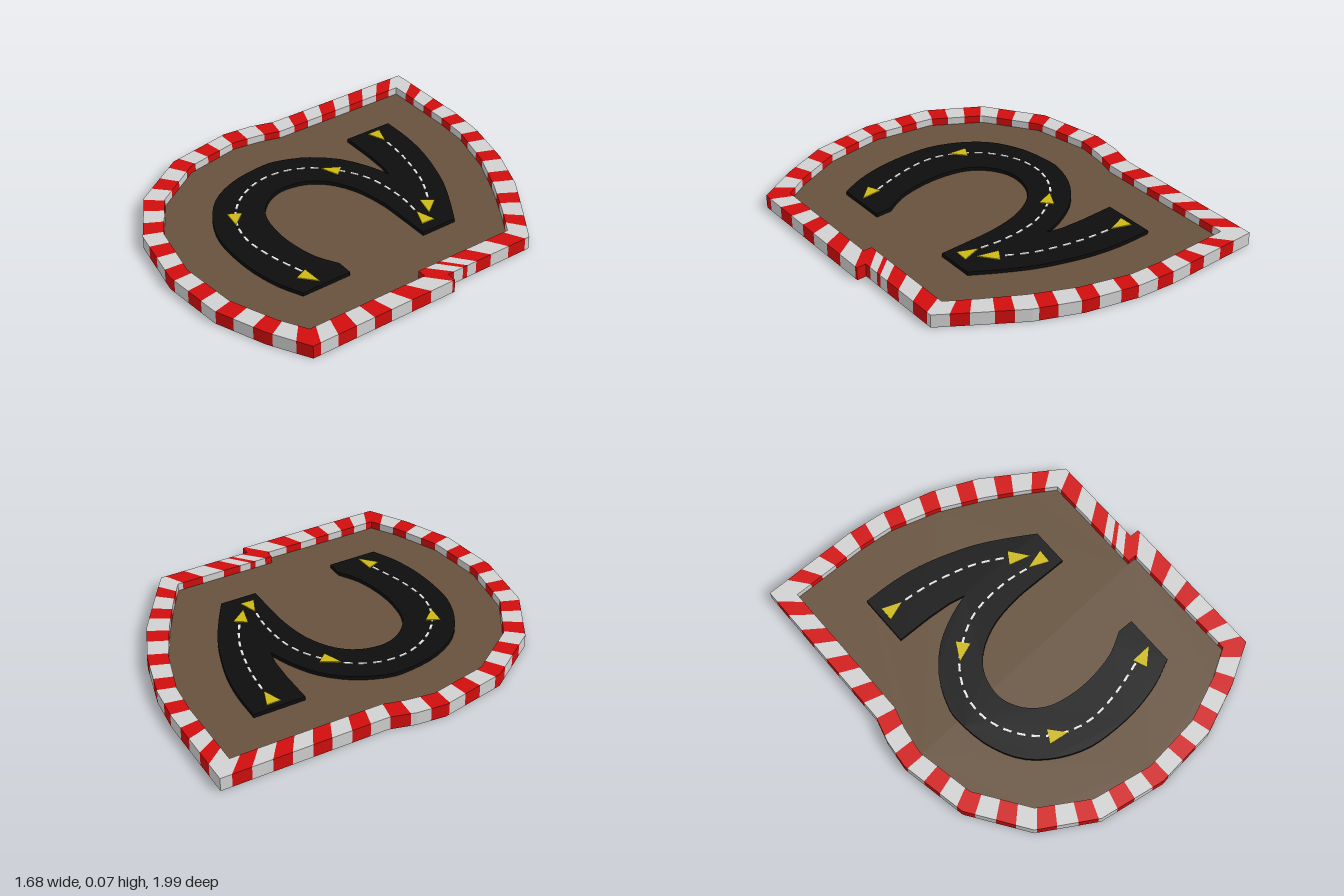
import * as THREE from 'three';

const mat = (name, color) => new THREE.MeshStandardMaterial({ name, color });

// Kerb ring corners: outer x, z, then matching inner x, z
const RING = [
  [-0.79, -1, -0.69, -0.905], [-0.29, -1, -0.3, -0.905], [-0.09, -0.98, -0.115, -0.89],
  [0.18, -0.91, 0.14, -0.815], [0.41, -0.81, 0.36, -0.71], [0.61, -0.68, 0.55, -0.6],
  [0.79, -0.56, 0.69, -0.51], [0.79, -0.06, 0.69, 0.035], [0.84, -0.06, 0.735, 0.035],
  [0.84, 0.735, 0.735, 0.68], [0.64, 0.85, 0.6, 0.76], [0.385, 0.955, 0.36, 0.86],
  [0.055, 0.99, 0.055, 0.895], [-0.29, 0.935, -0.255, 0.84], [-0.57, 0.77, -0.5, 0.69],
  [-0.77, 0.48, -0.68, 0.43], [-0.84, 0.13, -0.74, 0.13], [-0.825, -0.02, -0.72, -0.015],
  [-0.79, -0.15, -0.69, -0.13],
];
const KERB_HEIGHT = 0.07, FLOOR_BASE = 0.02, FLOOR_TOP = 0.03, ROAD_TOP = 0.05;

// Flat slab from an outline of [x, z] points, between two heights
function slab(points, y0, y1) {
  const shape = new THREE.Shape(points.map(([x, z]) => new THREE.Vector2(x, -z)));
  const g = new THREE.ExtrudeGeometry(shape, { depth: y1 - y0, bevelEnabled: false });
  return g.rotateX(-Math.PI / 2).translate(0, y0, 0);
}

const spline = (pts) => new THREE.SplineCurve(pts.map(([x, z]) => new THREE.Vector2(x, z)));
const smooth = (pts, n = 40) => spline(pts).getPoints(n).map((p) => [p.x, p.y]);

// Red stripe intervals, as distances along the outer kerb edge
function redStripes() {
  const reds = [[1.711, 1.816], [1.926, 2.016], [2.069, 2.096], [2.15, 2.25],
    [2.376, 2.486], [2.6, 2.696], [2.796, 2.896], [2.99, 3.112], [3.227, 3.327]];
  for (let k = 0; k < 8; k++) reds.push([0.11 + 0.2 * k, 0.2 + 0.2 * k]);
  for (let k = 0; k < 15; k++) reds.push([3.433 + 0.2 * k, 3.53 + 0.2 * k]);
  return reds;
}

// Kerb: slice the ring at corners and stripe ends, sorting slices by colour
function kerbGeometries() {
  const n = RING.length, reds = redStripes(), at = [0];
  for (let i = 0; i < n; i++) {
    const a = RING[i], b = RING[(i + 1) % n];
    at.push(at[i] + Math.hypot(b[0] - a[0], b[1] - a[1]));
  }
  const faces = { red: [], white: [] };
  for (let i = 0; i < n; i++) {
    const a = RING[i], b = RING[(i + 1) % n];
    const inside = reds.flat().filter((s) => s > at[i] + 1e-4 && s < at[i + 1] - 1e-4);
    const cuts = [at[i], ...inside, at[i + 1]].sort((p, q) => p - q);
    const point = (s) => a.map((v, j) => v + (b[j] - v) * (s - at[i]) / (at[i + 1] - at[i]));
    for (let c = 0; c + 1 < cuts.length; c++) {
      const mid = (cuts[c] + cuts[c + 1]) / 2;
      const out = reds.some(([s, e]) => mid > s && mid < e) ? faces.red : faces.white;
      const p = point(cuts[c]), q = point(cuts[c + 1]), H = KERB_HEIGHT;
      const quad = (A, B, C, D) => out.push(...A, ...B, ...C, ...A, ...C, ...D);
      const o = (v, y) => [v[0], y, v[1]], w = (v, y) => [v[2], y, v[3]];
      quad(o(p, H), w(p, H), w(q, H), o(q, H)); // top
      quad(o(p, 0), o(q, 0), w(q, 0), w(p, 0)); // underside
      quad(o(p, 0), o(p, H), o(q, H), o(q, 0)); // outer wall
      quad(w(p, 0), w(q, 0), w(q, H), w(p, H)); // inner wall
    }
  }
  const build = (list) => {
    const g = new THREE.BufferGeometry();
    g.setAttribute('position', new THREE.Float32BufferAttribute(list, 3));
    g.computeVertexNormals();
    return g;
  };
  return { red: build(faces.red), white: build(faces.white) };
}

export function createModel() {
  const group = new THREE.Group();
  group.name = 'trackTile';
  const red = mat('kerbRed', 0xd00d0d), white = mat('kerbWhite', 0xd0d0d0);
  const brown = mat('dirtBrown', 0x66513d), black = mat('asphaltBlack', 0x0d0d0d);
  const yellow = mat('arrowYellow', 0xccb814), paint = mat('lineWhite', 0xe6e6e6);
  const add = (name, geometry, material) => {
    const mesh = new THREE.Mesh(geometry, material);
    mesh.name = name;
    group.add(mesh);
  };

  const kerb = kerbGeometries();
  add('kerbRedStripes', kerb.red, red);
  add('kerbWhiteStripes', kerb.white, white);

  // Dirt floor inside the kerb
  add('floor', slab(RING.map((r) => [r[2], r[3]]), FLOOR_BASE, FLOOR_TOP), brown);

  // Raised road: straight-on approach, sharp hairpin, then a wide U-turn
  const approach = [[-0.445, -0.66], [-0.26, -0.655], [-0.08, -0.625], [0.135, -0.555],
    [0.295, -0.475], [0.445, -0.385]];
  const innerBend = [[0.445, -0.19], [0.28, -0.189], [0.135, -0.185], [-0.025, -0.155],
    [-0.155, -0.09], [-0.235, 0], [-0.265, 0.105], [-0.255, 0.195], [-0.2, 0.285],
    [-0.105, 0.35], [0.03, 0.375], [0.16, 0.37], [0.295, 0.34], [0.405, 0.28]];
  const outerBend = [[0.49, 0.545], [0.365, 0.6], [0.215, 0.635], [0.055, 0.645],
    [-0.105, 0.63], [-0.26, 0.565], [-0.385, 0.46], [-0.465, 0.305], [-0.495, 0.13],
    [-0.485, 0.025], [-0.425, -0.115], [-0.315, -0.24], [-0.18, -0.32], [-0.055, -0.365]];
  const road = [...smooth(approach), ...smooth(innerBend), [0.49, 0.28],
    ...smooth(outerBend), [-0.14, -0.383], [-0.26, -0.39], [-0.445, -0.39]];
  add('road', slab(road, FLOOR_TOP, ROAD_TOP), black);

  // Dashed centre lines
  const lines = [
    [[-0.31, -0.54], [-0.13, -0.52], [0.08, -0.465], [0.24, -0.385]],
    [[0.29, -0.27], [0.135, -0.285], [-0.05, -0.265], [-0.19, -0.2], [-0.315, -0.09],
      [-0.385, 0.055], [-0.385, 0.21], [-0.315, 0.36], [-0.19, 0.475], [-0.025, 0.53],
      [0.16, 0.515], [0.37, 0.455]],
  ];
  for (const line of lines) {
    const curve = spline(line), length = curve.getLength();
    const count = Math.floor(length / 0.07);
    for (let i = 0; i < count; i++) {
      const u = (i + 0.5) / count, p = curve.getPointAt(u), t = curve.getTangentAt(u);
      const dash = new THREE.BoxGeometry(0.042, 0.003, 0.011);
      dash.rotateY(-Math.atan2(t.y, t.x)).translate(p.x, ROAD_TOP + 0.0015, p.y);
      add('lineDash', dash, paint);
    }
  }

  // Direction arrows: base centre x, z, then tip x, z
  const arrows = [[-0.415, -0.54, -0.315, -0.54], [0.245, -0.375, 0.335, -0.315],
    [0.39, -0.265, 0.29, -0.27], [-0.22, -0.175, -0.295, -0.11],
    [-0.215, 0.465, -0.13, 0.51], [0.37, 0.475, 0.465, 0.435]];
  for (const [bx, bz, tx, tz] of arrows) {
    const l = Math.hypot(tx - bx, tz - bz), nx = -(tz - bz) / l * 0.037, nz = (tx - bx) / l * 0.037;
    add('arrow', slab([[bx + nx, bz + nz], [tx, tz], [bx - nx, bz - nz]], ROAD_TOP, ROAD_TOP + 0.005), yellow);
  }
  return group;
}
